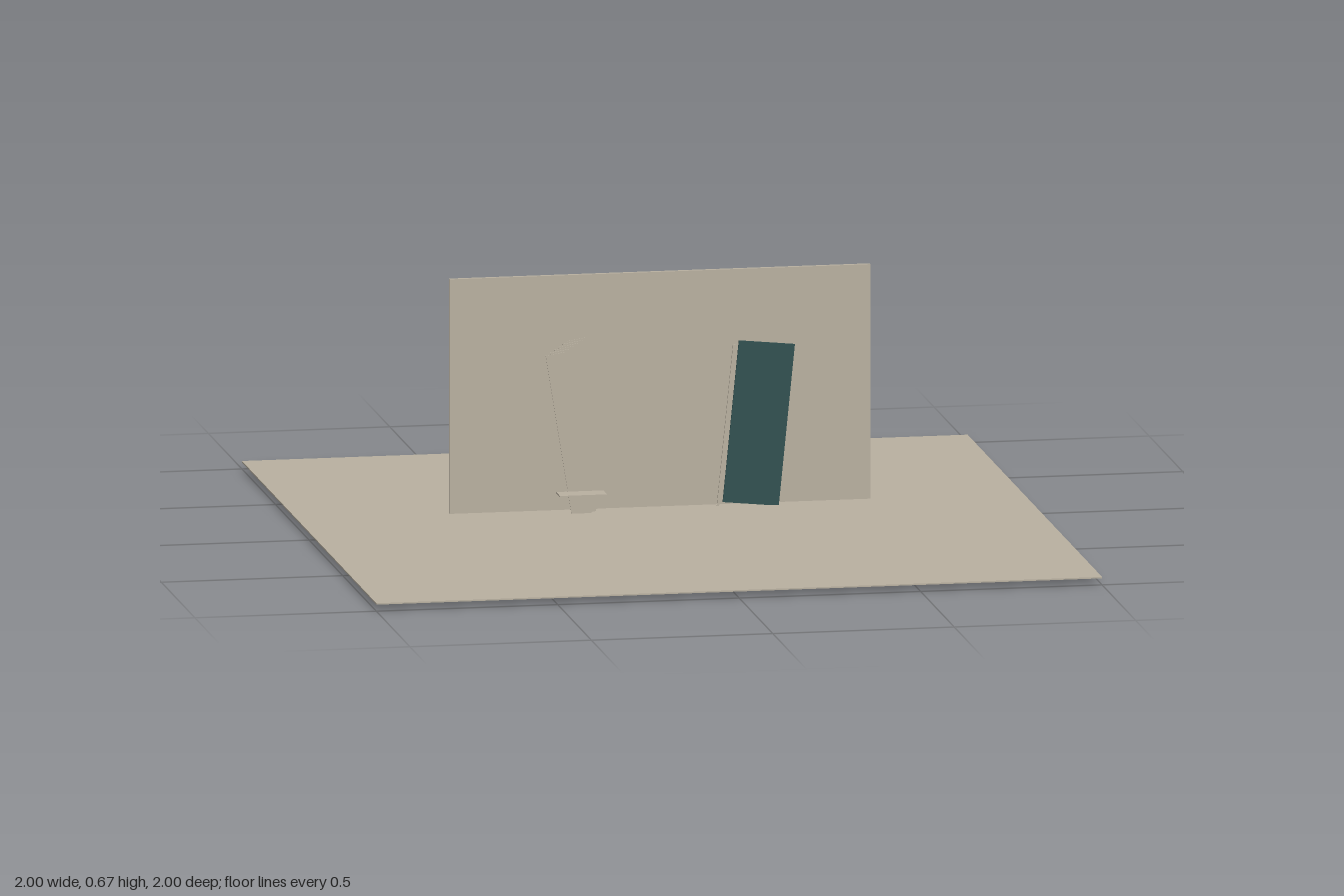
import * as THREE from 'three';

export function createModel() {
  const group = new THREE.Group();
  const beige = new THREE.MeshStandardMaterial({ color: 0xb8b0a0 });
  const teal = new THREE.MeshStandardMaterial({ color: 0x2f4f4f });

  // Box given by size and centre, leaning sideways by an angle
  function slab(name, size, centre, lean = 0, material = beige) {
    const mesh = new THREE.Mesh(new THREE.BoxGeometry(...size), material);
    mesh.name = name;
    mesh.position.set(...centre);
    mesh.rotation.z = lean;
    group.add(mesh);
  }

  slab('ground', [2, 0.004, 2], [0, 0.02, 0]);
  slab('wall', [1.16, 0.67, 0.012], [0, 0.335, -0.184]);

  // Leaning stack of narrow sheets, each one shifted back, right and up
  const count = 6;
  for (let i = 0; i < count; i++) {
    const t = i / (count - 1);
    slab('stackSheet' + (i + 1), [0.055, 0.456, 0.003],
      [-0.262 + 0.064 * t, 0.24 + 0.032 * t, -0.122 - 0.03 * t], 0.16);
  }

  // Small flat shelf in front of the stack
  slab('shelf', [0.13, 0.004, 0.056], [-0.235, 0.085, -0.075]);

  // Leaning teal panel with a thin strip along its edge
  slab('panel', [0.155, 0.447, 0.004], [0.265, 0.25, -0.14], -0.1, teal);
  slab('panelStrip', [0.006, 0.447, 0.004], [0.173, 0.25, -0.13], -0.1);

  return group;
}
